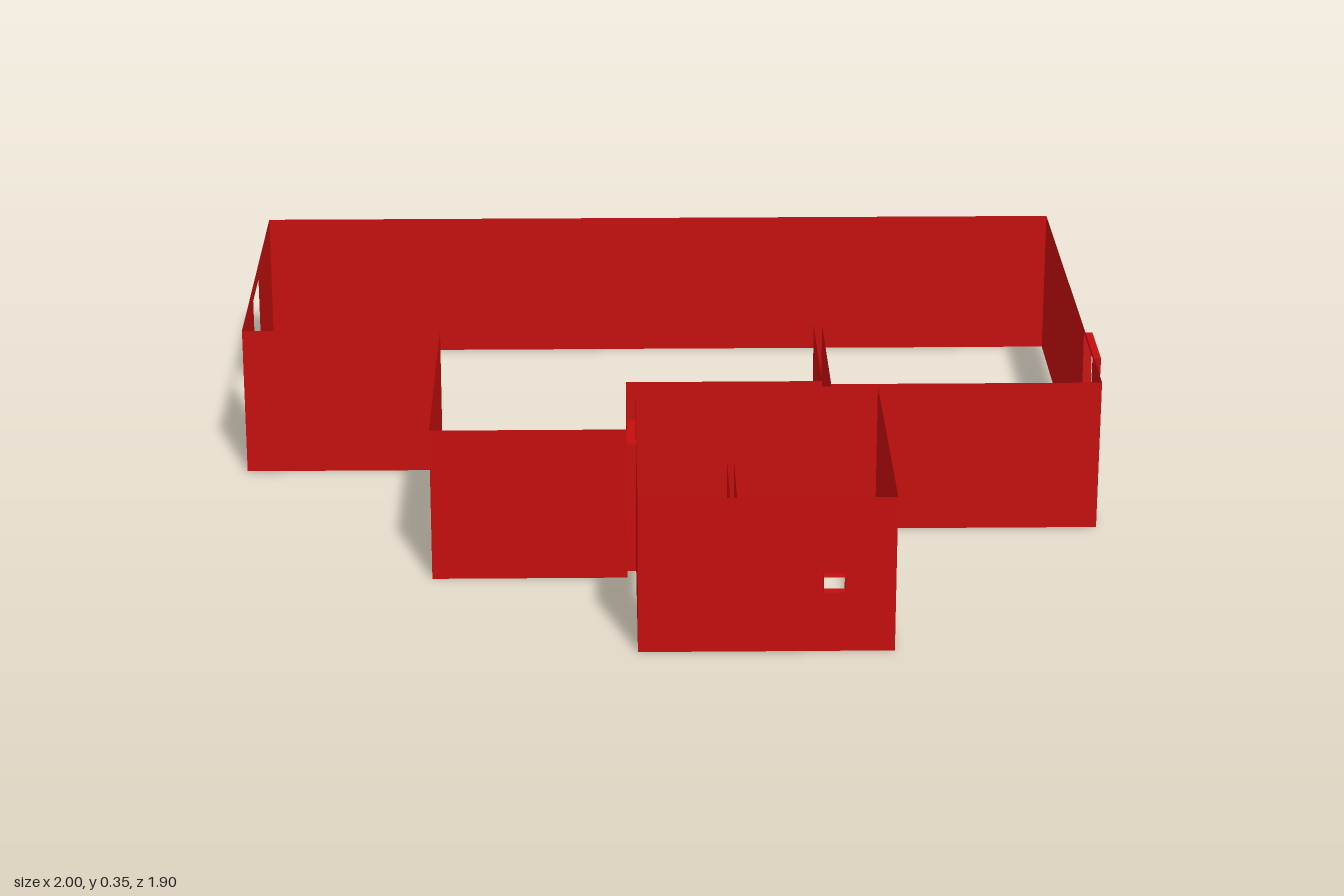
import * as THREE from 'three';

const HEIGHT = 0.355;

export function createModel() {
  const model = new THREE.Group();
  const red = new THREE.MeshStandardMaterial({ color: 0xc40d0d, side: THREE.DoubleSide });

  // Thin upright wall from plan point a to b; corners of each hole are [distance along wall, height]
  function wall(name, a, b, holes = []) {
    const dx = b[0] - a[0], dz = b[1] - a[1];
    const len = Math.hypot(dx, dz);
    const shape = new THREE.Shape();
    shape.moveTo(0, 0).lineTo(len, 0).lineTo(len, HEIGHT).lineTo(0, HEIGHT).closePath();
    for (const hole of holes) {
      shape.holes.push(new THREE.Path(hole.map(([u, v]) => new THREE.Vector2(u, v))));
    }
    const mesh = new THREE.Mesh(new THREE.ShapeGeometry(shape), red);
    mesh.position.set(a[0], 0, a[1]);
    mesh.rotation.y = Math.atan2(-dz, dx);
    mesh.name = name;
    model.add(mesh);
  }

  // Lining of an opening: a strip through the corner points, swept along an offset
  function reveal(name, corners, offset, closed = true) {
    const pos = [], index = [], n = corners.length;
    for (const [x, y, z] of corners) {
      pos.push(x, y, z, x + offset[0], y, z + offset[1]);
    }
    for (let i = 0; i < (closed ? n : n - 1); i++) {
      const p = 2 * i, q = 2 * ((i + 1) % n);
      index.push(p, q, q + 1, p, q + 1, p + 1);
    }
    const geo = new THREE.BufferGeometry();
    geo.setAttribute('position', new THREE.Float32BufferAttribute(pos, 3));
    geo.setIndex(index);
    const flat = geo.toNonIndexed();
    flat.computeVertexNormals();
    const mesh = new THREE.Mesh(flat, red);
    mesh.name = name;
    model.add(mesh);
  }

  const rect = (u0, u1, v0, v1) => [[u0, v0], [u1, v0], [u1, v1], [u0, v1]];

  // Main apartment outline, with the openings of each wall
  const rooms = [
    ['backWall', [-1, -0.95]],
    ['rightWall', [0.98, -0.95], [[[0.855, 0.22], [1.01, 0.22], [1.02, 0.345], [0.845, 0.345]]]],
    ['bedroomFrontWall', [0.98, 0.255]],
    ['dividerRightFace', [0.365, 0.255]],
    ['dividerEnd', [0.365, -0.14]],
    ['dividerLeftFace', [0.345, -0.14]],
    ['hallWall', [0.345, 0.235]],
    ['doorwayWall', [-0.1, 0.235], [rect(0.125, 0.265, 0.003, 0.31)]],
    ['kitchenFrontWall', [-0.1, 0.53]],
    ['kitchenLeftWall', [-0.535, 0.53]],
    ['livingFrontWall', [-0.535, -0.12]],
    ['leftWall', [-1, -0.12], [rect(0.31, 0.47, 0.08, 0.32)]],
  ];
  rooms.forEach(([name, a, holes], i) => wall(name, a, rooms[(i + 1) % rooms.length][1], holes));

  // Bathroom outline
  const bath = [
    ['bathBackWall', [-0.08, 0.27]],
    ['bathRightWall', [0.47, 0.27]],
    ['bathFrontWall', [0.47, 0.93], [rect(0.11, 0.155, 0.145, 0.18)]],
    ['bathLeftWall', [-0.08, 0.93], [rect(0.43, 0.57, 0.003, 0.31)]],
  ];
  bath.forEach(([name, a, holes], i) => wall(name, a, bath[(i + 1) % bath.length][1], holes));

  // Shower partition
  wall('partitionLeftFace', [0.115, 0.93], [0.115, 0.73]);
  wall('partitionEnd', [0.115, 0.73], [0.13, 0.73]);
  wall('partitionRightFace', [0.13, 0.73], [0.13, 0.93]);

  // Linings of the right window, the doorway and the front vent
  reveal('windowReveal',
    [[0.98, 0.22, -0.095], [0.98, 0.22, 0.06], [0.98, 0.345, 0.07], [0.98, 0.345, -0.105]], [0.02, 0]);
  reveal('doorReveal',
    [[-0.1, 0.003, 0.36], [-0.1, 0.003, 0.5], [-0.1, 0.31, 0.5], [-0.1, 0.31, 0.36]], [0.02, 0]);
  reveal('ventReveal',
    [[0.315, 0.145, 0.93], [0.36, 0.145, 0.93], [0.36, 0.18, 0.93], [0.315, 0.18, 0.93]], [0, 0.02]);

  return model;
}
